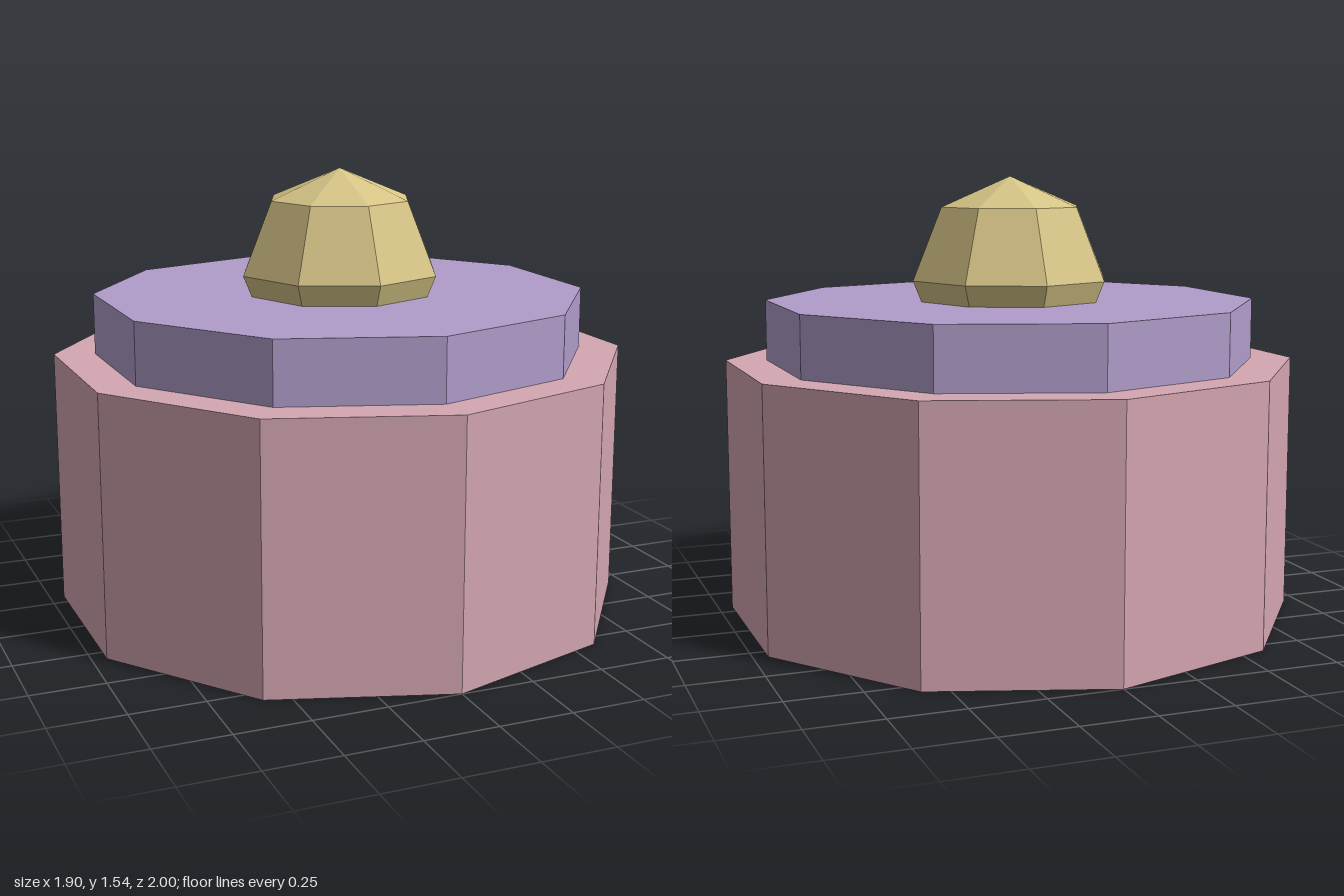
import * as THREE from 'three';

const flat = (name, color) => {
  const m = new THREE.MeshStandardMaterial({ color });
  m.name = name;
  return m;
};

export function createModel() {
  const group = new THREE.Group();
  group.name = 'liddedJar';

  // Unshared vertices give every facet a flat normal
  const add = (name, geometry, material, y) => {
    const faceted = geometry.toNonIndexed();
    faceted.computeVertexNormals();
    const mesh = new THREE.Mesh(faceted, material);
    mesh.name = name;
    mesh.position.y = y;
    group.add(mesh);
  };

  const sides = 10;
  const bodyHeight = 0.895;
  const lidHeight = 0.212;

  // Ten-sided body and lid, each with a corner towards the front
  add('body', new THREE.CylinderGeometry(1, 1, bodyHeight, sides), flat('dusty pink', 0xd4a6b1), bodyHeight / 2);
  add('lid', new THREE.CylinderGeometry(0.857, 0.857, lidHeight, sides), flat('lavender', 0xb09dca), bodyHeight + lidHeight / 2);

  // Low-poly ball knob, sunk into the lid
  add('knob', new THREE.SphereGeometry(0.356, 8, 4), flat('pale gold', 0xd6c486), 1.18);

  return group;
}
